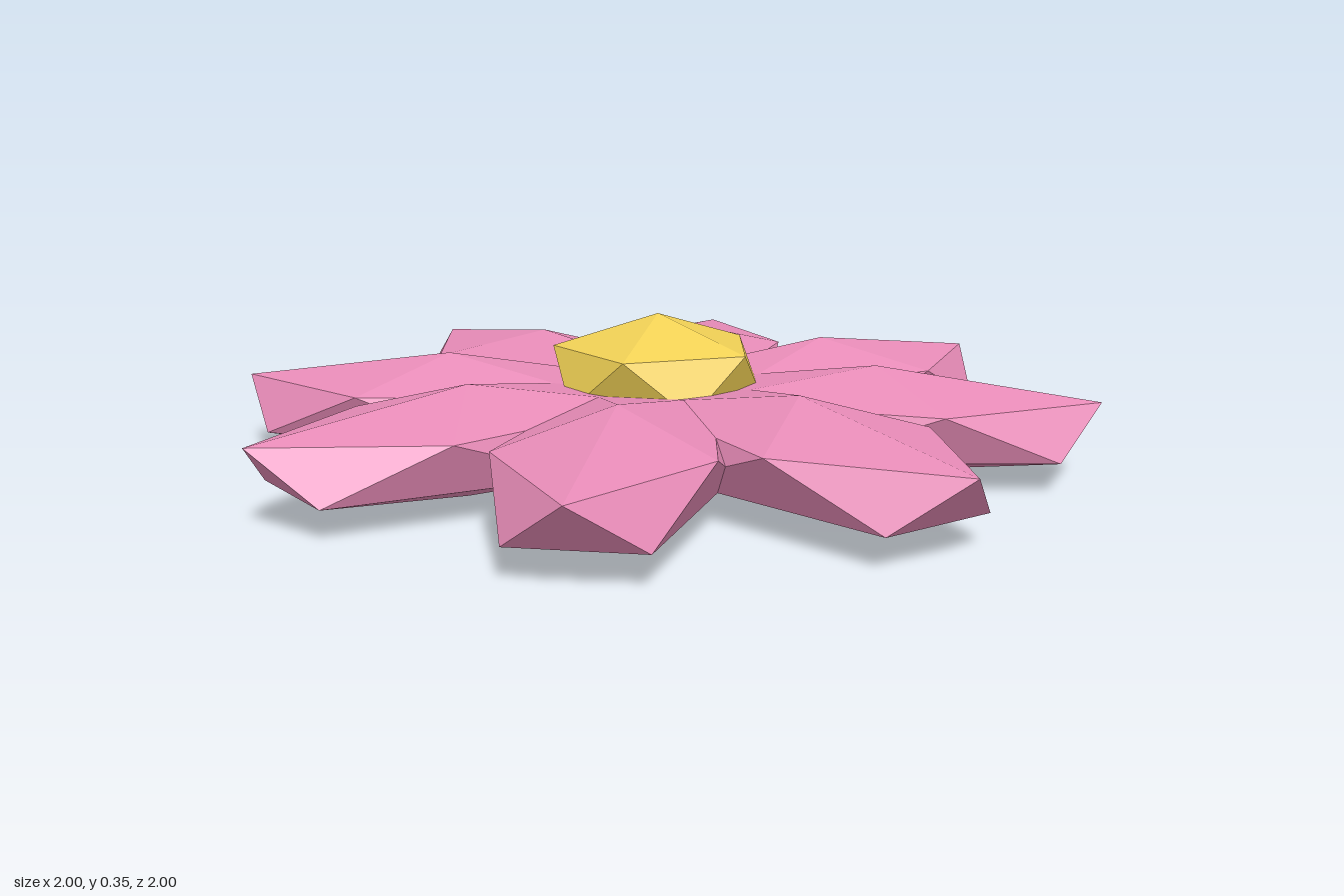
import * as THREE from 'three';

// Unit icosahedron standing on a corner, with one corner of its upper ring towards +x
function pointedIcosahedron(scaleX, scaleY, scaleZ) {
  const geometry = new THREE.IcosahedronGeometry(1, 0);
  geometry.rotateZ(-Math.atan(2 / (1 + Math.sqrt(5))));
  geometry.scale(scaleX, scaleY, scaleZ);
  geometry.computeVertexNormals();
  return geometry;
}

export function createModel() {
  const flower = new THREE.Group();
  flower.name = 'flower';

  const pink = new THREE.MeshStandardMaterial({ color: 0xe88cb8, flatShading: true });
  const yellow = new THREE.MeshStandardMaterial({ color: 0xf0d055, flatShading: true });

  // Eight flattened, elongated petals reaching out from the middle
  const petalGeometry = pointedIcosahedron(0.559, 0.123, 0.263);
  petalGeometry.translate(0.5, 0.125, 0);
  const petals = new THREE.Group();
  petals.name = 'petals';
  for (let i = 0; i < 8; i++) {
    const petal = new THREE.Mesh(petalGeometry, pink);
    petal.name = 'petal' + (i + 1);
    petal.rotation.y = (i * Math.PI) / 4;
    petals.add(petal);
  }
  flower.add(petals);

  // Faceted centre, sunk halfway into the petals
  const centre = new THREE.Mesh(pointedIcosahedron(0.27, 0.136, 0.27), yellow);
  centre.name = 'flowerCentre';
  centre.position.y = 0.219;
  flower.add(centre);

  return flower;
}
